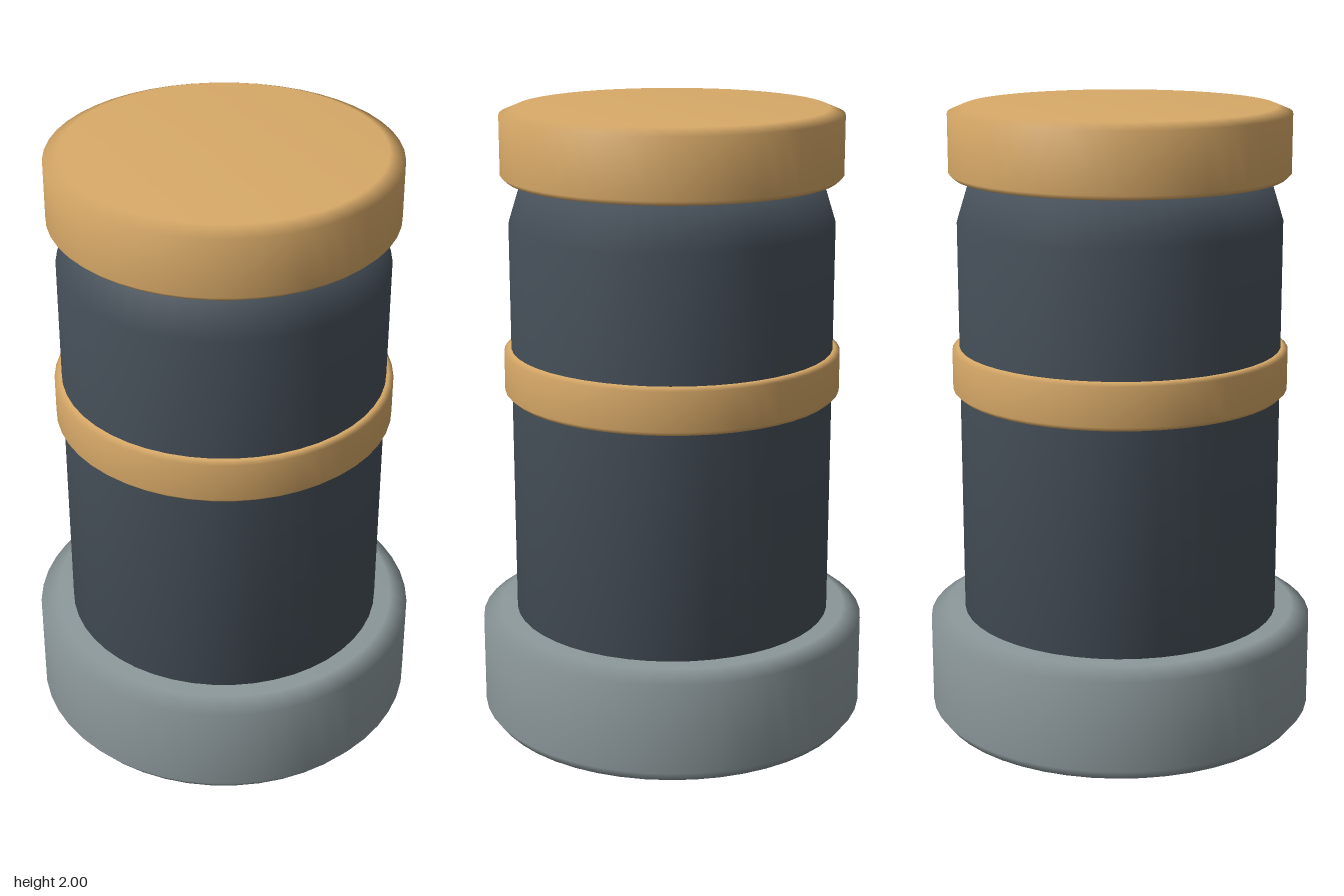
import * as THREE from 'three';
import { mergeVertices } from 'three/addons/utils/BufferGeometryUtils.js';

const SEGMENTS = 48;

// Turned part from a [radius, height] profile listed bottom to top;
// welding gives area-weighted normals, so flats stay flat and bevels look soft.
function turned(name, color, profile) {
  const points = profile.map(([r, y]) => new THREE.Vector2(r, y));
  const lathe = new THREE.LatheGeometry(points, SEGMENTS);
  lathe.deleteAttribute('uv');
  lathe.deleteAttribute('normal');
  const geometry = mergeVertices(lathe, 1e-4);
  geometry.computeVertexNormals();
  const mesh = new THREE.Mesh(geometry, new THREE.MeshStandardMaterial({ color }));
  mesh.name = name;
  return mesh;
}

export function createModel() {
  const model = new THREE.Group();
  model.name = 'bandedPost';
  const grey = 0x8c989b, slate = 0x48525c, tan = 0xd9aa68;

  model.add(
    // wide foot with bevelled rims
    turned('base', grey, [
      [0, 0], [0.6, 0], [0.627, 0.035], [0.627, 0.33], [0.57, 0.36], [0, 0.36],
    ]),
    // main cylinder tapering in at the shoulder
    turned('body', slate, [
      [0, 0.3], [0.515, 0.3], [0.515, 1.64], [0.465, 1.8], [0, 1.8],
    ]),
    // band around the middle
    turned('band', tan, [
      [0.48, 1.09], [0.522, 1.09], [0.538, 1.105], [0.538, 1.23], [0.522, 1.24], [0.48, 1.24],
    ]),
    // overhanging lid
    turned('cap', tan, [
      [0, 1.78], [0.522, 1.78], [0.538, 1.795], [0.538, 1.98], [0.49, 2], [0, 2],
    ]),
  );
  return model;
}
